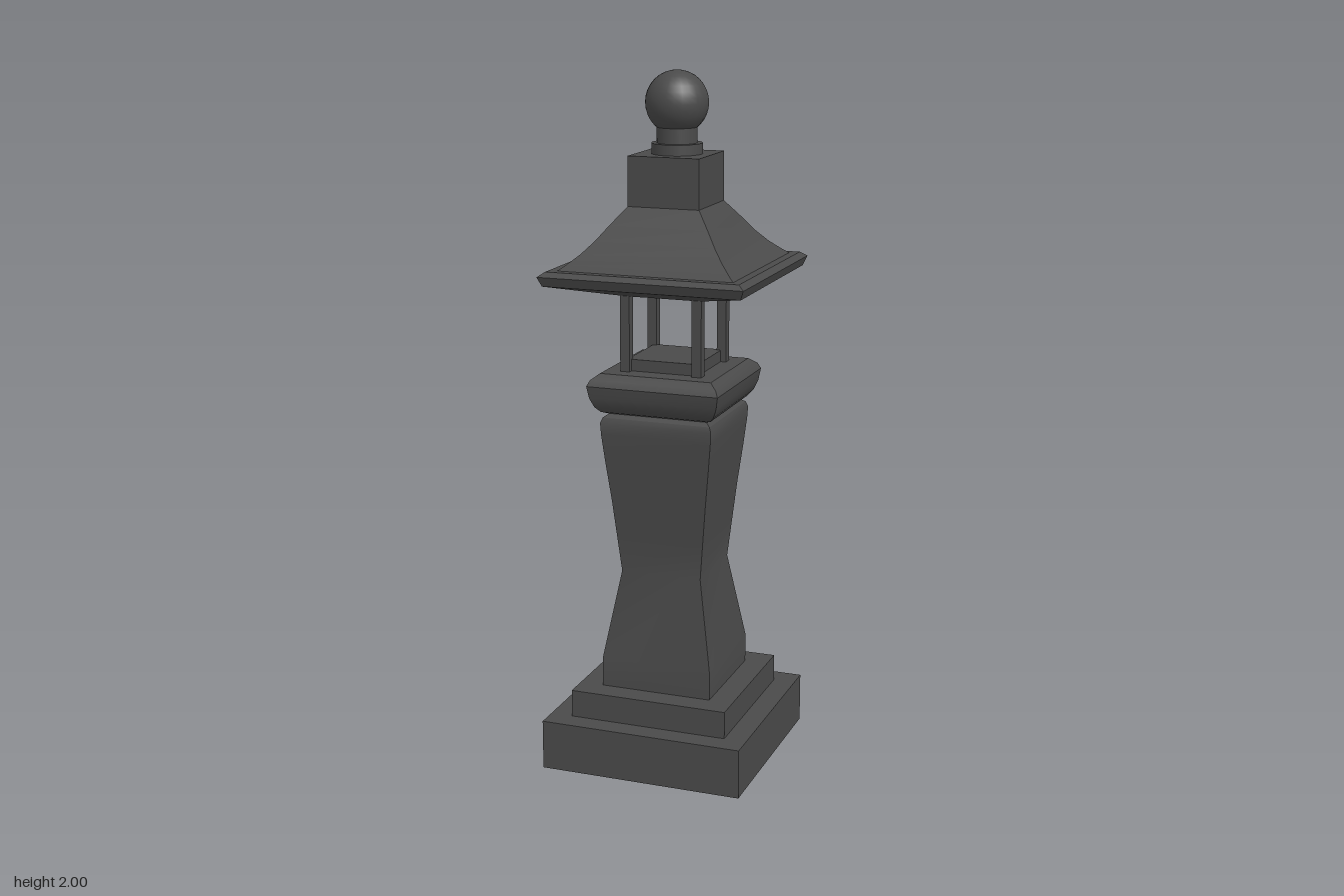
import * as THREE from 'three';
import { toCreasedNormals } from 'three/addons/utils/BufferGeometryUtils.js';

const material = new THREE.MeshStandardMaterial({ color: 0x4a4a4a, side: THREE.DoubleSide });
const CORNERS = [[1, 1], [1, -1], [-1, -1], [-1, 1]];

// Square counterpart of a lathe: profile rows are [half width, height], bottom to top.
// adjust(corner, row) may return a different [half width, height] for one corner.
function squareLathe(profile, adjust = (corner, row) => profile[row]) {
  const positions = [], index = [];
  profile.forEach((_, row) => CORNERS.forEach(([sx, sz], corner) => {
    const [w, y] = adjust(corner, row);
    positions.push(sx * w, y, sz * w);
  }));
  for (let row = 0; row < profile.length - 1; row++) {
    for (let c = 0; c < 4; c++) {
      const a = row * 4 + c, b = row * 4 + (c + 1) % 4;
      index.push(a, b, b + 4, a, b + 4, a + 4);
    }
  }
  const geometry = new THREE.BufferGeometry();
  geometry.setAttribute('position', new THREE.Float32BufferAttribute(positions, 3));
  geometry.setIndex(index);
  return toCreasedNormals(geometry, 0.5);
}

export function createModel() {
  const group = new THREE.Group();
  const add = (name, geometry, x = 0, y = 0, z = 0) => {
    const mesh = new THREE.Mesh(geometry, material);
    mesh.name = name;
    mesh.position.set(x, y, z);
    group.add(mesh);
  };

  // Stepped plinth, hollow and open underneath
  add('plinth', squareLathe([[0.3, 0], [0.3, 0.145], [0.235, 0.145], [0.235, 0.225], [0.165, 0.225]]));

  // Waisted pillar; the back corner on the right has its waist a little higher
  const waist = 2;
  const pillar = [[0.165, 0.225], [0.165, 0.31], [0.12, 0.57], [0.131, 0.68], [0.142, 0.79],
    [0.155, 0.9], [0.164, 0.985], [0.166, 1.02], [0.16, 1.035], [0.146, 1.045]];
  add('pillar', squareLathe(pillar, (corner, row) =>
    corner === 2 && row === waist ? [0.13, 0.64] : pillar[row]));

  // Rounded capital
  add('capital', squareLathe([[0.146, 1.045], [0.164, 1.052], [0.178, 1.068], [0.189, 1.095],
    [0.195, 1.13], [0.187, 1.147], [0.165, 1.164], [0, 1.164]]));

  // Lantern chamber: floor and four corner posts
  add('chamberFloor', new THREE.BoxGeometry(0.21, 0.035, 0.21), 0, 1.18, 0);
  for (const [sx, sz] of CORNERS) {
    add('post', new THREE.BoxGeometry(0.028, 0.22, 0.028), sx * 0.107, 1.272, sz * 0.107);
  }

  // Flared roof with rim, sloping underside and square chimney block
  add('roof', squareLathe([[0, 1.378], [0.11, 1.378], [0.287, 1.425], [0.298, 1.452], [0.28, 1.465],
    [0.255, 1.465], [0.237, 1.479], [0.207, 1.505], [0.175, 1.54], [0.145, 1.58], [0.105, 1.63],
    [0.105, 1.77], [0, 1.77]]), 0.002, 0, -0.002);

  // Round neck and ball finial
  add('neckCollar', new THREE.CylinderGeometry(0.072, 0.072, 0.03, 24), 0.004, 1.785, -0.003);
  add('neck', new THREE.CylinderGeometry(0.057, 0.057, 0.06, 24), 0.004, 1.825, -0.003);
  add('finialBall', new THREE.SphereGeometry(0.089, 24, 16), 0.004, 1.911, -0.003);

  return group;
}
